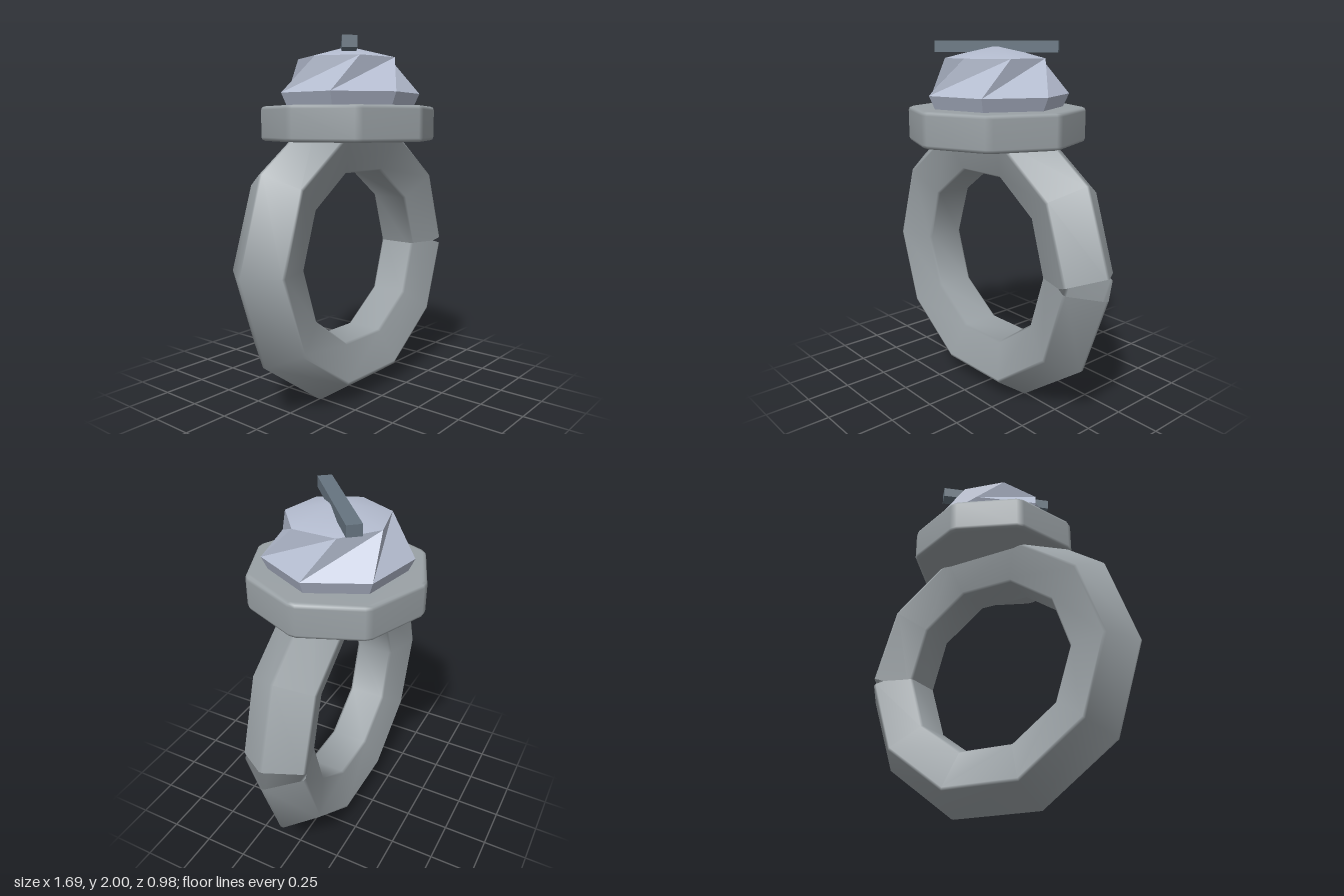
import * as THREE from 'three';
import { mergeVertices } from 'three/addons/utils/BufferGeometryUtils.js';

const material = (name, color, side = THREE.FrontSide) => {
  const m = new THREE.MeshStandardMaterial({ color, side });
  m.name = name;
  return m;
};

const mesh = (name, geometry, mat) => {
  const m = new THREE.Mesh(geometry, mat);
  m.name = name;
  return m;
};

// Indexed geometry with area-weighted smooth normals
function smoothGeometry(points, index) {
  const g = new THREE.BufferGeometry();
  g.setAttribute('position', new THREE.Float32BufferAttribute(points.flat(), 3));
  g.setIndex(index);
  g.computeVertexNormals();
  return g;
}

// Split every corner of a polygon in two for a narrow bevel
function bevelCorners(corners, amount) {
  const n = corners.length;
  return corners.flatMap((c, i) => [
    c.clone().lerp(corners[(i + n - 1) % n], amount),
    c.clone().lerp(corners[(i + 1) % n], amount),
  ]);
}

const polygon = (sides, radius) => Array.from({ length: sides }, (_, i) => {
  const a = (i / sides) * Math.PI * 2;
  return new THREE.Vector2(radius * Math.cos(a), radius * Math.sin(a));
});

// Five-sided section swept round ten segments, with a notch where the tilted open ends meet
function bandGeometry() {
  const segments = 10, radius = 0.66, centreY = 0.81;
  const profile = bevelCorners(polygon(5, 0.195), 0.05);
  const n = profile.length, points = [], index = [];
  for (let i = 0; i <= segments; i++) {
    const a = (i / segments) * Math.PI * 2;
    const tilt = i === 0 ? Math.PI / 10 : i === segments ? -Math.PI / 10 : 0;
    for (const p of profile) {
      points.push([
        radius * Math.cos(a) + p.x * Math.cos(a + tilt),
        centreY + radius * Math.sin(a) + p.x * Math.sin(a + tilt),
        p.y,
      ]);
    }
  }
  for (let i = 0; i < segments; i++) {
    for (let j = 0; j < n; j++) {
      const k = (j + 1) % n, a = i * n, b = a + n;
      index.push(a + j, b + j, b + k, a + j, b + k, a + k);
    }
  }
  return smoothGeometry(points, index);
}

// Bevelled octagonal plate
function collarGeometry() {
  const bevel = 0.02;
  const shape = new THREE.Shape(bevelCorners(polygon(8, 0.475), 0.05));
  const g = new THREE.ExtrudeGeometry(shape, {
    depth: 0.19 - bevel * 2, bevelEnabled: true, bevelSize: bevel, bevelThickness: bevel, bevelSegments: 2,
  });
  g.rotateX(-Math.PI / 2);
  g.translate(0, 1.46 + bevel, 0);
  g.deleteAttribute('normal');
  g.deleteAttribute('uv');
  const merged = mergeVertices(g, 1e-4);
  merged.computeVertexNormals();
  return merged;
}

// Seven-sided stone: level() gives the corner at step k of a ring
const level = (radius, y) => (k) => {
  const a = (k / 7) * Math.PI * 2;
  return [radius * Math.cos(a), y, radius * Math.sin(a)];
};
const girdle = level(0.4, 1.72);
const upper = level(0.28, 1.91);
const lower = level(0.35, 1.61);

// Swirled facets above the girdle and a short taper below it
function facetGeometry() {
  const faces = [];
  for (let k = 0; k < 7; k++) {
    faces.push(
      girdle(k), girdle(k - 1), upper(k - 1.5),
      girdle(k), upper(k - 1.5), upper(k - 0.5),
      lower(k), lower(k - 1), girdle(k - 1),
      lower(k), girdle(k - 1), girdle(k),
    );
  }
  const g = new THREE.BufferGeometry();
  g.setAttribute('position', new THREE.Float32BufferAttribute(faces.flat(), 3));
  g.computeVertexNormals();
  return g;
}

// Shallow smooth cap over the facets
function crownGeometry() {
  const points = [[0, 1.98, 0]], index = [];
  for (let k = 0; k < 7; k++) {
    points.push(upper(k + 0.5));
    index.push(0, 1 + ((k + 1) % 7), 1 + k);
  }
  return smoothGeometry(points, index);
}

export function createModel() {
  const metal = material('greyMetal', 0x9aa1a5, THREE.DoubleSide);
  const gem = material('paleGem', 0xb4bccf);
  const slate = material('darkSlate', 0x667480);

  const model = new THREE.Group();
  model.name = 'ring';
  model.add(mesh('band', bandGeometry(), metal));
  model.add(mesh('collar', collarGeometry(), metal));

  const stone = new THREE.Group();
  stone.name = 'stone';
  stone.add(mesh('stoneFacets', facetGeometry(), gem));
  stone.add(mesh('stoneCrown', crownGeometry(), gem));
  model.add(stone);

  // Diagonal bar resting on the stone
  const bar = mesh('topBar', new THREE.BoxGeometry(0.67, 0.06, 0.08), slate);
  bar.position.y = 1.97;
  bar.rotation.y = 0.7;
  model.add(bar);
  return model;
}
